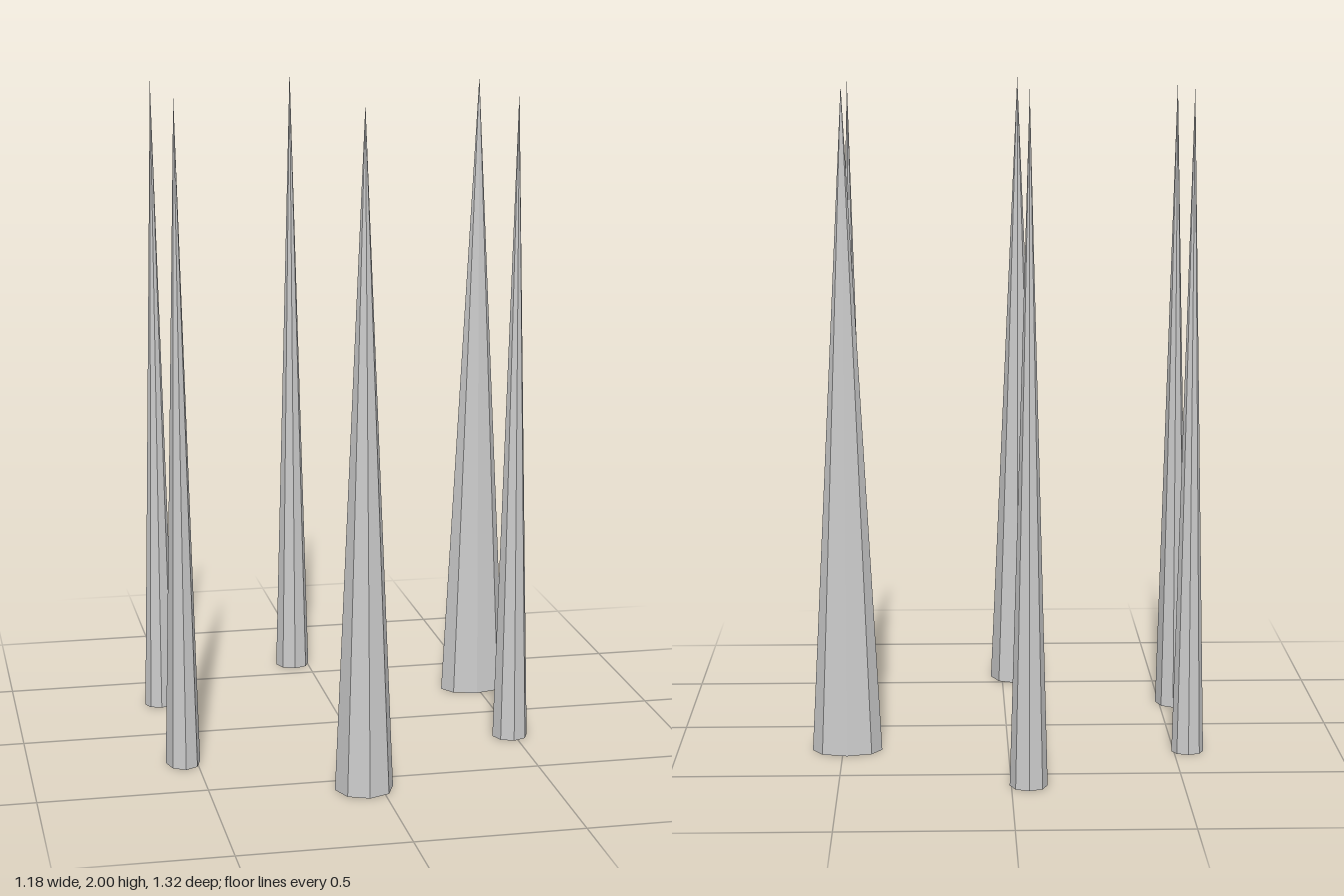
import * as THREE from 'three';

const HEIGHT = 2;

// name, centre x, centre z, radius along x, radius along z
const SPIKES = [
  ['frontSpike', -0.05, 0.572, 0.087, 0.087],
  ['frontLeftSpike', 0.487, 0.22, 0.055, 0.055],
  ['backLeftSpike', 0.487, -0.248, 0.105, 0.065],
  ['backSpike', -0.05, -0.605, 0.055, 0.055],
  ['backRightSpike', -0.541, -0.285, 0.048, 0.04],
  ['frontRightSpike', -0.541, 0.254, 0.052, 0.071],
];

export function createModel() {
  const group = new THREE.Group();
  group.name = 'spikeRing';
  const material = new THREE.MeshStandardMaterial({ color: 0xcccccc, flatShading: true });

  // Eight-sided spikes, some stretched to an oval base
  for (const [name, x, z, rx, rz] of SPIKES) {
    const geometry = new THREE.ConeGeometry(1, HEIGHT, 8);
    geometry.scale(rx, 1, rz);
    const spike = new THREE.Mesh(geometry, material);
    spike.name = name;
    spike.position.set(x, HEIGHT / 2, z);
    group.add(spike);
  }
  return group;
}
